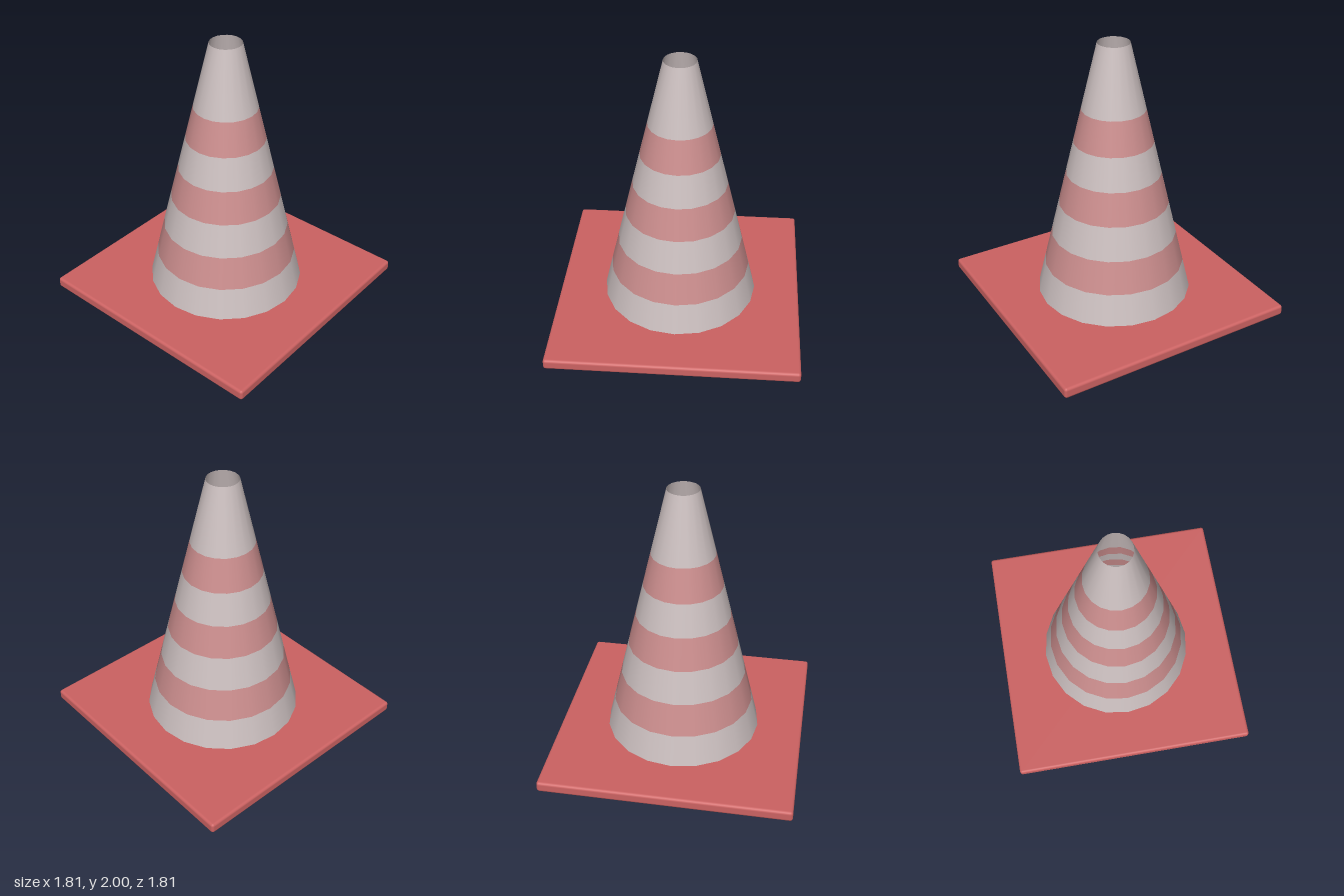
import * as THREE from 'three';
import { RoundedBoxGeometry } from 'three/addons/geometries/RoundedBoxGeometry.js';

const BASE_TOP = 0.08, TOP = 2, R_BOTTOM = 0.57, R_TOP = 0.115, SIDES = 20;

// Cone radius at a given height
const radiusAt = (y) => THREE.MathUtils.mapLinear(y, BASE_TOP, TOP, R_BOTTOM, R_TOP);

export function createModel() {
  const model = new THREE.Group();
  model.name = 'trafficCone';

  // Square foot plate with softened edges
  const base = new THREE.Mesh(
    new RoundedBoxGeometry(1.81, BASE_TOP, 1.81, 2, 0.02),
    new THREE.MeshStandardMaterial({ color: 0xcc6262 })
  );
  base.name = 'basePlate';
  base.position.y = BASE_TOP / 2;
  model.add(base);

  // Hollow cone: stacked open bands, alternating pale and red
  const pale = new THREE.MeshStandardMaterial({ color: 0xccc0c0, side: THREE.DoubleSide });
  const red = new THREE.MeshStandardMaterial({ color: 0xcc8e8e, side: THREE.DoubleSide });
  const heights = [BASE_TOP, 0.31, 0.55, 0.795, 1.035, 1.275, 1.52, TOP];
  const cone = new THREE.Group();
  cone.name = 'cone';
  for (let i = 0; i < heights.length - 1; i++) {
    const y0 = heights[i], y1 = heights[i + 1];
    const band = new THREE.Mesh(
      new THREE.CylinderGeometry(radiusAt(y1), radiusAt(y0), y1 - y0, SIDES, 1, true),
      i % 2 ? red : pale
    );
    band.name = (i % 2 ? 'redBand' : 'paleBand') + (Math.floor(i / 2) + 1);
    band.position.y = (y0 + y1) / 2;
    cone.add(band);
  }
  model.add(cone);

  return model;
}
